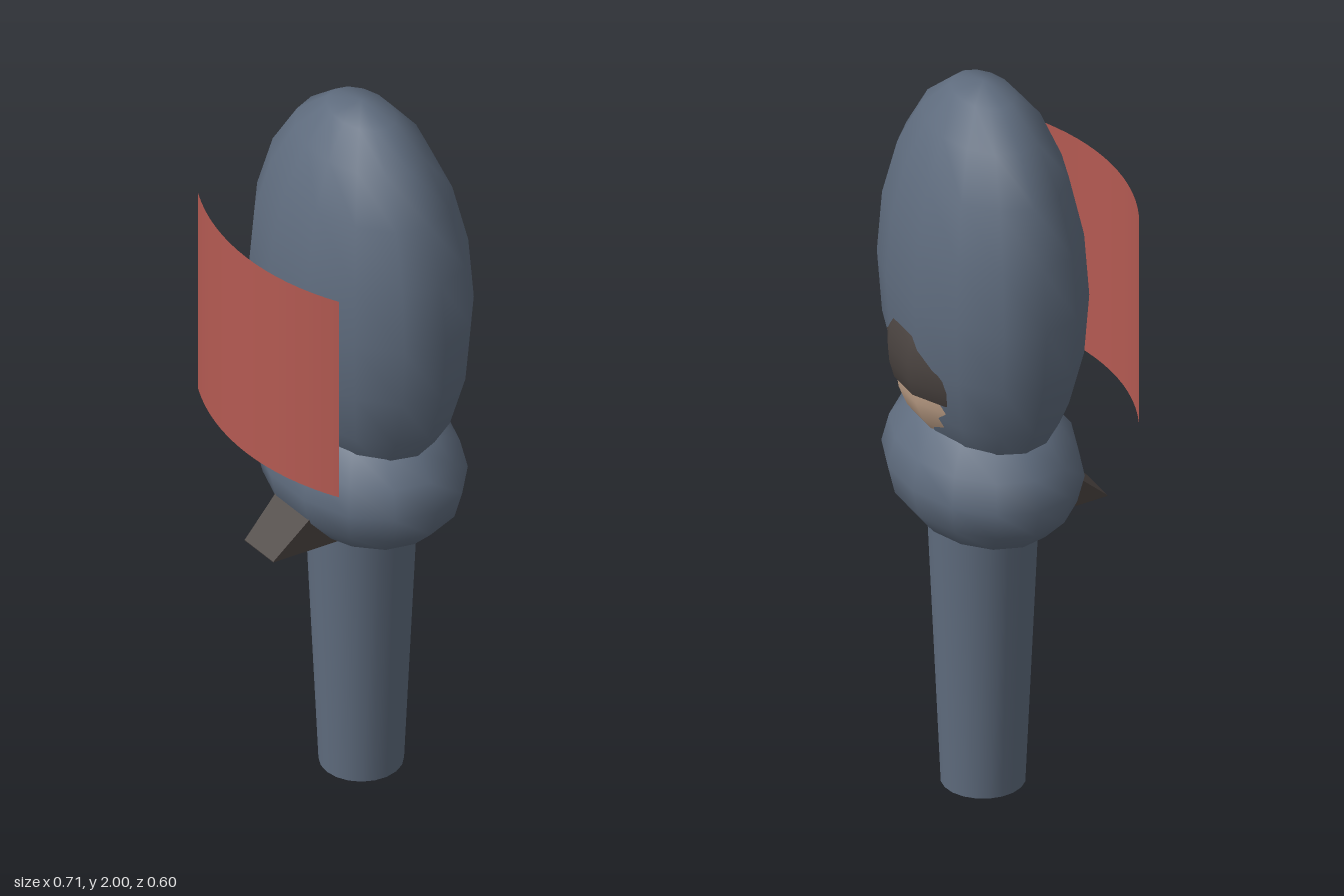
import * as THREE from 'three';

export function createModel() {
  const model = new THREE.Group();
  const mat = (name, color, side = THREE.FrontSide) => {
    const m = new THREE.MeshStandardMaterial({ color, side });
    m.name = name;
    return m;
  };
  const blue = mat('slate blue', 0x5f6c7e);
  const red = mat('brick red', 0xb45a52, THREE.DoubleSide);
  const skin = mat('skin', 0xc4a58c);
  const dark = mat('dark brown', 0x4a4340, THREE.DoubleSide);
  const axisZ = -0.058;

  const add = (name, geometry, material, y, z = axisZ) => {
    const mesh = new THREE.Mesh(geometry, material);
    mesh.name = name;
    mesh.position.set(0, y, z);
    model.add(mesh);
    return mesh;
  };
  const ellipsoid = (rx, ry, rz, rings) =>
    new THREE.SphereGeometry(1, 14, rings).scale(rx, ry, rz);

  // Tall hood and flattened lower body
  add('hood', ellipsoid(0.355, 0.55, 0.2375, 10), blue, 1.45);
  add('lowerBody', ellipsoid(0.315, 0.205, 0.2375, 8), blue, 0.918);

  // Tapered post, narrowest at the floor
  add('post', new THREE.CylinderGeometry(0.145, 0.107, 0.85, 20), blue, 0.425);

  // Head inside the hood, with a nose in front and hair behind
  add('head', ellipsoid(0.225, 0.225, 0.225, 12), skin, 1.21);
  add('nose', ellipsoid(0.035, 0.065, 0.04, 8), skin, 1.155, 0.142);
  add('hair', new THREE.SphereGeometry(0.245, 7, 10, Math.PI, Math.PI, 0, Math.PI * 0.62), dark, 1.27);

  // Curved panel in front, bulging forward
  const radius = 0.657, half = 0.4657;
  add('frontPanel',
    new THREE.CylinderGeometry(radius, radius, 0.595, 16, 1, true, -half, half * 2),
    red, 1.3725, 0.3 - radius);

  // Wedge-shaped spout that narrows to a sharp front edge
  const wedge = new THREE.BoxGeometry(1, 1, 1);
  const p = wedge.attributes.position;
  for (let i = 0; i < p.count; i++) {
    const front = p.getZ(i) > 0, top = p.getY(i) > 0;
    p.setXYZ(i,
      Math.sign(p.getX(i)) * (front ? 0.06 : 0.086),
      top ? (front ? 0.002 : 0.205) : 0,
      front ? 0.26 : 0.03);
  }
  wedge.computeVertexNormals();
  add('spout', wedge, dark, 0.758, 0);

  return model;
}
